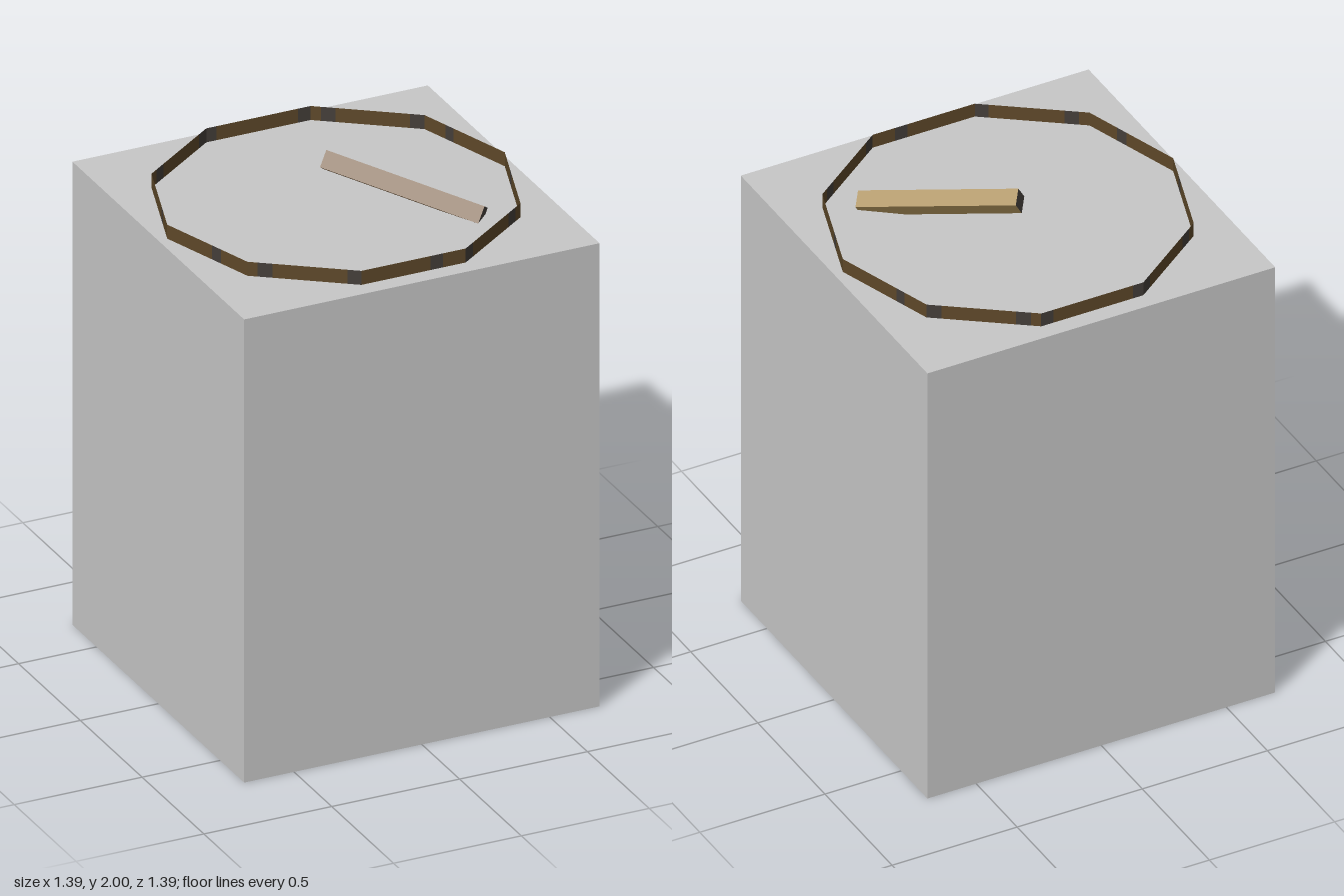
import * as THREE from 'three';

const mat = (name, color, side = THREE.FrontSide) => {
  const m = new THREE.MeshStandardMaterial({ color, side });
  m.name = name;
  return m;
};

export function createModel() {
  const stone = mat('stone', 0xc8c8c8);
  const tan = mat('tanWood', 0xa88d58);
  const brown = mat('brownWood', 0x7c5f3e);
  const dark = mat('darkEndGrain', 0x4a4440);
  const ringWood = mat('ringWood', 0x5e4829, THREE.DoubleSide);
  const ringDark = mat('ringKnot', 0x443e39, THREE.DoubleSide);

  const model = new THREE.Group();
  model.name = 'pedestalWithRing';

  // Pedestal block
  const H = 1.82, W = 1.39;
  const block = new THREE.Mesh(new THREE.BoxGeometry(W, H, W), stone);
  block.name = 'pedestal';
  block.position.y = H / 2;
  model.add(block);

  // Thin ten-sided ring wall; each panel is cut into plain and dark stretches
  const ring = new THREE.Group();
  ring.name = 'ring';
  const R = 0.66, ringH = 0.055, step = Math.PI / 5;
  const chord = 2 * R * Math.sin(step / 2), apothem = R * Math.cos(step / 2);
  const knots = [
    [[0.33, 0.44]], [[0.09, 0.22], [0.87, 1]], [[0.22, 0.34]],
    [[0, 0.12], [0.78, 0.91]], [[0.33, 0.44]], [[0.26, 0.36]],
    [[0.09, 0.22], [0.87, 1]], [[0, 0.1], [0.88, 1]],
    [[0.09, 0.22], [0.87, 1]], [[0.26, 0.36]],
  ];
  knots.forEach((spans, k) => {
    const panel = new THREE.Group();
    panel.name = 'ringPanel';
    const phi = (k + 0.5) * step;
    panel.position.set(apothem * Math.cos(phi), H + ringH / 2, apothem * Math.sin(phi));
    panel.rotation.y = Math.PI / 2 - phi;
    const strip = (from, to, material, name) => {
      if (to - from < 0.001) return;
      const m = new THREE.Mesh(new THREE.PlaneGeometry((to - from) * chord, ringH), material);
      m.name = name;
      m.position.x = (0.5 - (from + to) / 2) * chord;
      panel.add(m);
    };
    let at = 0;
    for (const [from, to] of spans) {
      strip(at, from, ringWood, 'ringWall');
      strip(from, to, ringDark, 'ringKnot');
      at = to;
    }
    strip(at, 1, ringWood, 'ringWall');
    ring.add(panel);
  });
  model.add(ring);

  // Square stick leaning across the top, rolled about its own length
  const stick = new THREE.Mesh(
    new THREE.BoxGeometry(0.065, 0.065, 0.603),
    [tan, brown, tan, brown, dark, dark]
  );
  stick.name = 'stick';
  const tilt = THREE.MathUtils.degToRad(12);
  const along = new THREE.Vector3(
    Math.SQRT1_2 * Math.cos(tilt), -Math.sin(tilt), Math.SQRT1_2 * Math.cos(tilt));
  const across = new THREE.Vector3(Math.SQRT1_2, 0, -Math.SQRT1_2);
  const up = along.clone().cross(across);
  stick.quaternion.setFromRotationMatrix(new THREE.Matrix4().makeBasis(across, up, along));
  stick.rotateZ(THREE.MathUtils.degToRad(-32));
  stick.position.set(0.203, 1.892, 0.129);
  model.add(stick);

  return model;
}
